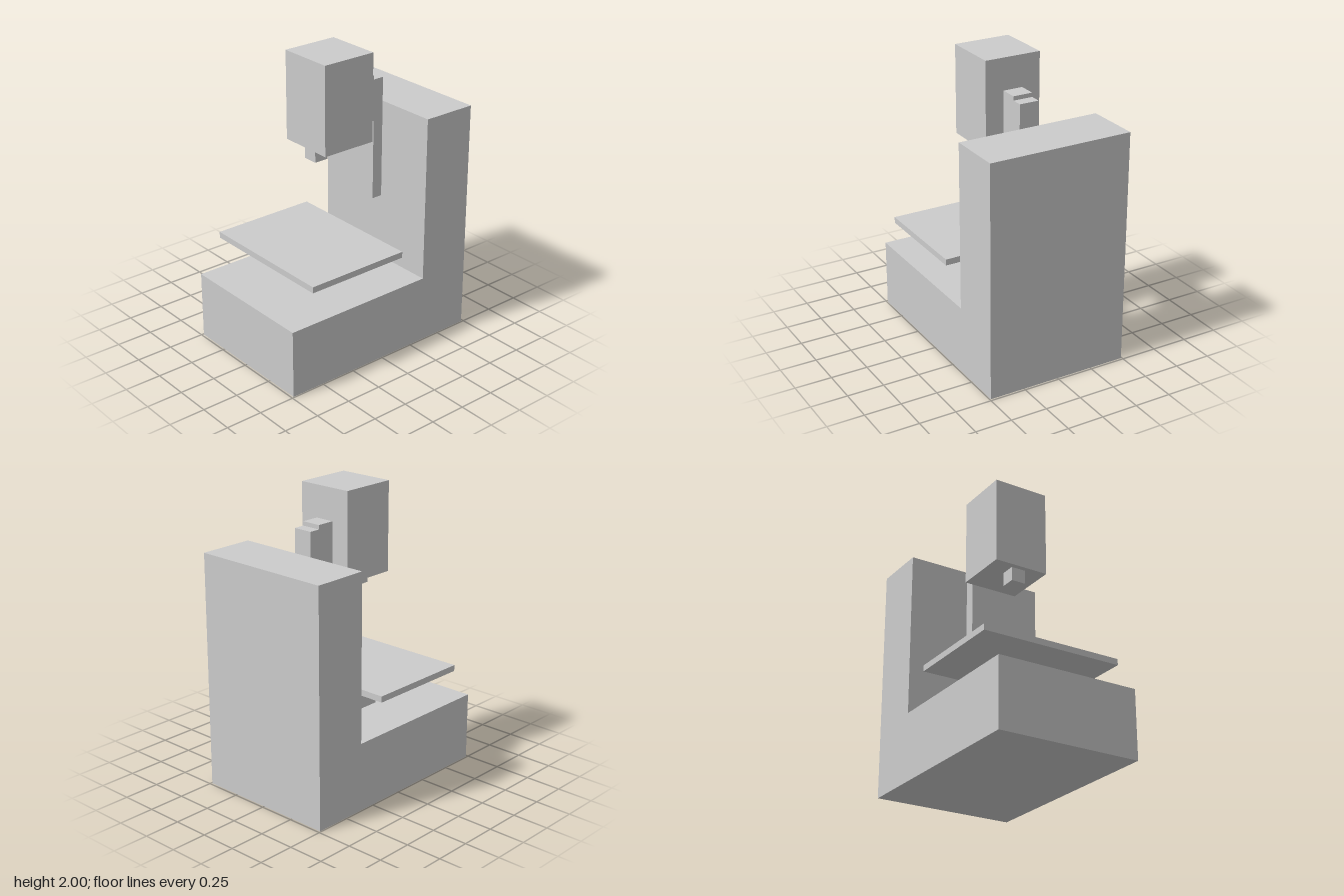
import * as THREE from 'three';

const material = new THREE.MeshStandardMaterial({ color: 0xcccccc, flatShading: true });

// Box given by its extents along each axis
function block(name, [x0, x1], [y0, y1], [z0, z1]) {
  const mesh = new THREE.Mesh(new THREE.BoxGeometry(x1 - x0, y1 - y0, z1 - z0), material);
  mesh.position.set((x0 + x1) / 2, (y0 + y1) / 2, (z0 + z1) / 2);
  mesh.name = name;
  return mesh;
}

// L-shaped side profile (z, y) extruded across the width
function createFrame(halfWidth) {
  const profile = new THREE.Shape([
    [-0.735, 0], [0.735, 0], [0.735, 0.465], [-0.357, 0.465], [-0.357, 1.595], [-0.735, 1.595],
  ].map(([z, y]) => new THREE.Vector2(-z, y)));
  const geometry = new THREE.ExtrudeGeometry(profile, { depth: 2 * halfWidth, bevelEnabled: false });
  geometry.translate(0, 0, -halfWidth);
  geometry.rotateY(Math.PI / 2); // profile -z axis onto the depth direction
  const mesh = new THREE.Mesh(geometry, material);
  mesh.name = 'frame';
  return mesh;
}

export function createModel() {
  const model = new THREE.Group();
  model.name = 'millingMachine';
  const width = [-0.493, 0.493];
  const railWidth = [-0.067, 0.067];

  // Base and column in one piece
  model.add(createFrame(0.493));

  // Work table on its pedestal
  model.add(block('tablePedestal', [-0.119, 0.119], [0.465, 0.685], [-0.031, 0.207]));
  model.add(block('workTable', width, [0.685, 0.727], [-0.166, 0.573]));

  // Vertical rail on the column and the bracket carrying the head
  model.add(block('rail', railWidth, [0.92, 1.758], [-0.357, -0.281]));
  model.add(block('headBracket', railWidth, [1.473, 1.786], [-0.281, -0.16]));

  // Head with the spindle below
  model.add(block('head', [-0.194, 0.194], [1.4, 2], [-0.16, 0.228]));
  model.add(block('spindle', [-0.052, 0.05], [1.304, 1.4], [0.09, 0.192]));

  return model;
}
